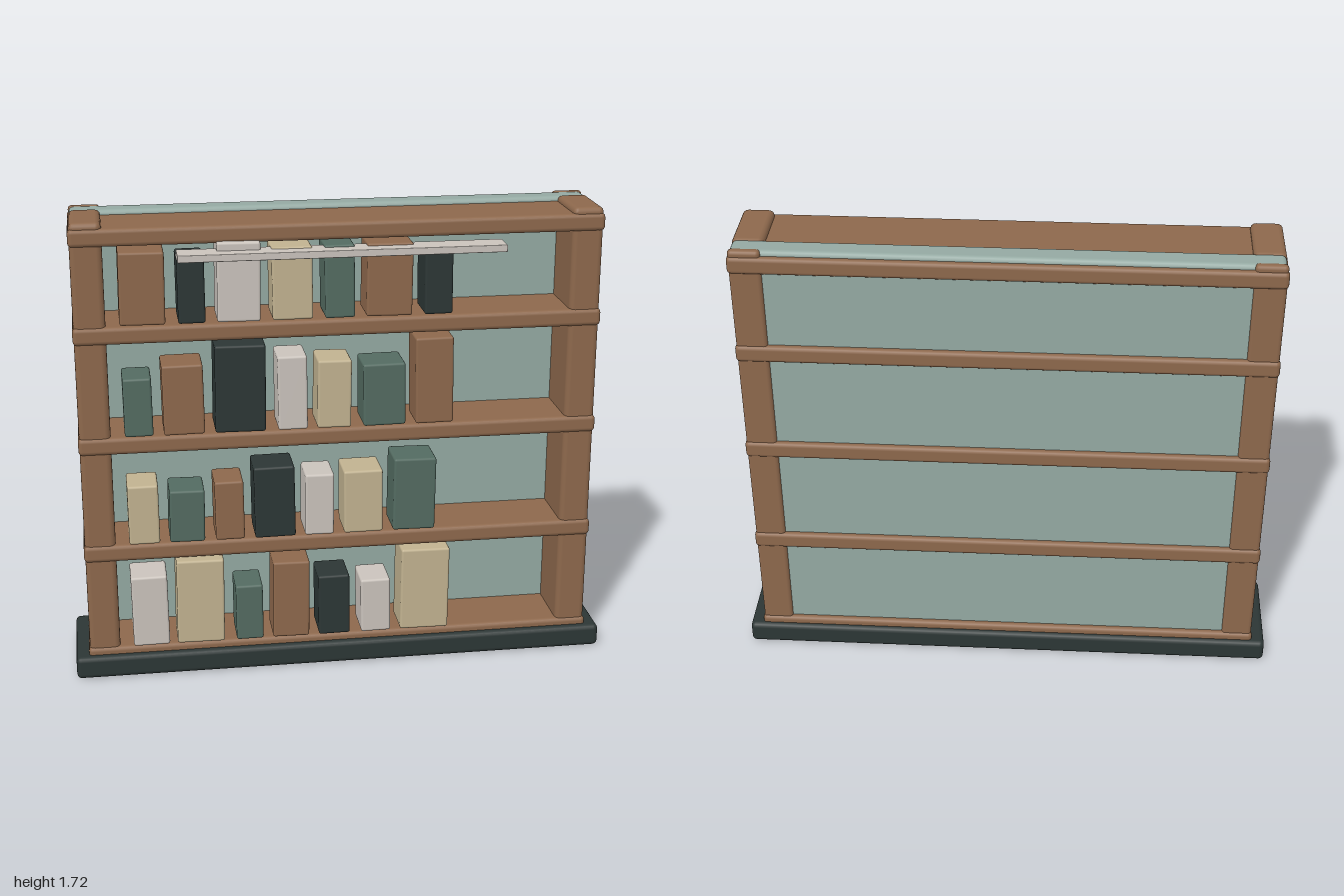
import * as THREE from 'three';
import { RoundedBoxGeometry } from 'three/addons/geometries/RoundedBoxGeometry.js';

const mat = (name, color) => new THREE.MeshStandardMaterial({ name, color });

export function createModel() {
  const model = new THREE.Group();
  model.name = 'bookcase';

  const wood = mat('brown wood', 0x8d684c);
  const teal = mat('pale teal', 0x94a9a2);
  const dark = mat('charcoal', 0x2c3635);
  const green = mat('deep green', 0x536b61);
  const cream = mat('cream', 0xc1b290);
  const white = mat('off white', 0xcac3bc);

  // Rounded block given by its minimum and maximum corners
  function block(name, material, min, max, radius, parent = model) {
    const s = max.map((v, i) => v - min[i]);
    const mesh = new THREE.Mesh(new RoundedBoxGeometry(s[0], s[1], s[2], 2, radius), material);
    mesh.position.set(...min.map((v, i) => (v + max[i]) / 2));
    mesh.name = name;
    parent.add(mesh);
    return mesh;
  }

  // Plinth and back panel
  block('plinth', dark, [-1, 0.001, -0.216], [1, 0.086, 0.171], 0.018);
  block('backPanel', teal, [-0.945, 0, -0.176], [0.945, 1.717, -0.088], 0.018);

  // Front and rear posts on both sides
  for (const side of [-1, 1]) {
    const label = side > 0 ? 'left' : 'right';
    const x0 = side > 0 ? 0.835 : -0.948;
    block(label + 'FrontPost', wood, [x0, 0, -0.105], [x0 + 0.113, 1.72, 0.138], 0.02);
    block(label + 'RearPost', wood, [x0, 0, -0.188], [x0 + 0.113, 1.72, -0.155], 0.014);
  }

  // Shelves in front of the panel, matching rails behind it
  for (const y of [0.081, 0.49, 0.906, 1.316, 1.667]) {
    block('shelf', wood, [-0.952, y - 0.032, -0.11], [0.952, y + 0.032, 0.146], 0.016);
    block('rearRail', wood, [-0.952, y - 0.032, -0.197], [0.952, y + 0.032, -0.157], 0.015);
  }

  // Books: left edge, right edge, top, material; one list per shelf
  const rows = [
    { y: 0.121, books: [
      [-0.786, -0.652, 0.398, white], [-0.62, -0.444, 0.452, cream], [-0.401, -0.3, 0.34, green],
      [-0.262, -0.125, 0.425, wood], [-0.091, 0.027, 0.36, dark], [0.07, 0.182, 0.334, white],
      [0.222, 0.406, 0.446, cream]] },
    { y: 0.53, books: [
      [-0.786, -0.674, 0.757, cream], [-0.636, -0.508, 0.73, green], [-0.47, -0.364, 0.757, wood],
      [-0.326, -0.176, 0.805, dark], [-0.139, -0.032, 0.767, white], [0.005, 0.15, 0.773, cream],
      [0.19, 0.348, 0.81, green]] },
    { y: 0.946, books: [
      [-0.786, -0.684, 1.163, green], [-0.647, -0.5, 1.206, wood], [-0.46, -0.278, 1.27, dark],
      [-0.235, -0.128, 1.222, white], [-0.091, 0.032, 1.2, cream], [0.075, 0.23, 1.18, green],
      [0.267, 0.406, 1.27, wood]] },
    { y: 1.357, books: [
      [-0.786, -0.626, 1.618, wood], [-0.583, -0.487, 1.595, dark], [-0.444, -0.291, 1.643, white],
      [-0.251, -0.107, 1.62, cream], [-0.064, 0.043, 1.622, green], [0.086, 0.251, 1.622, wood],
      [0.294, 0.396, 1.59, dark]] },
  ];
  const tilts = [0.012, -0.01, 0.006, -0.012, 0.01];
  rows.forEach(({ y, books }, r) => {
    const row = new THREE.Group();
    row.name = 'bookRow' + (r + 1);
    model.add(row);
    books.forEach(([x0, x1, top, material], i) => {
      const book = block('book', material, [x0, y, 0.013], [x1, top, 0.165], 0.009, row);
      book.rotation.z = tilts[(i + 2 * r) % tilts.length];
    });
  });

  // Slim bar under the top shelf
  block('lightBar', white, [-0.582, 1.588, 0.12], [0.578, 1.614, 0.217], 0.003);

  return model;
}
